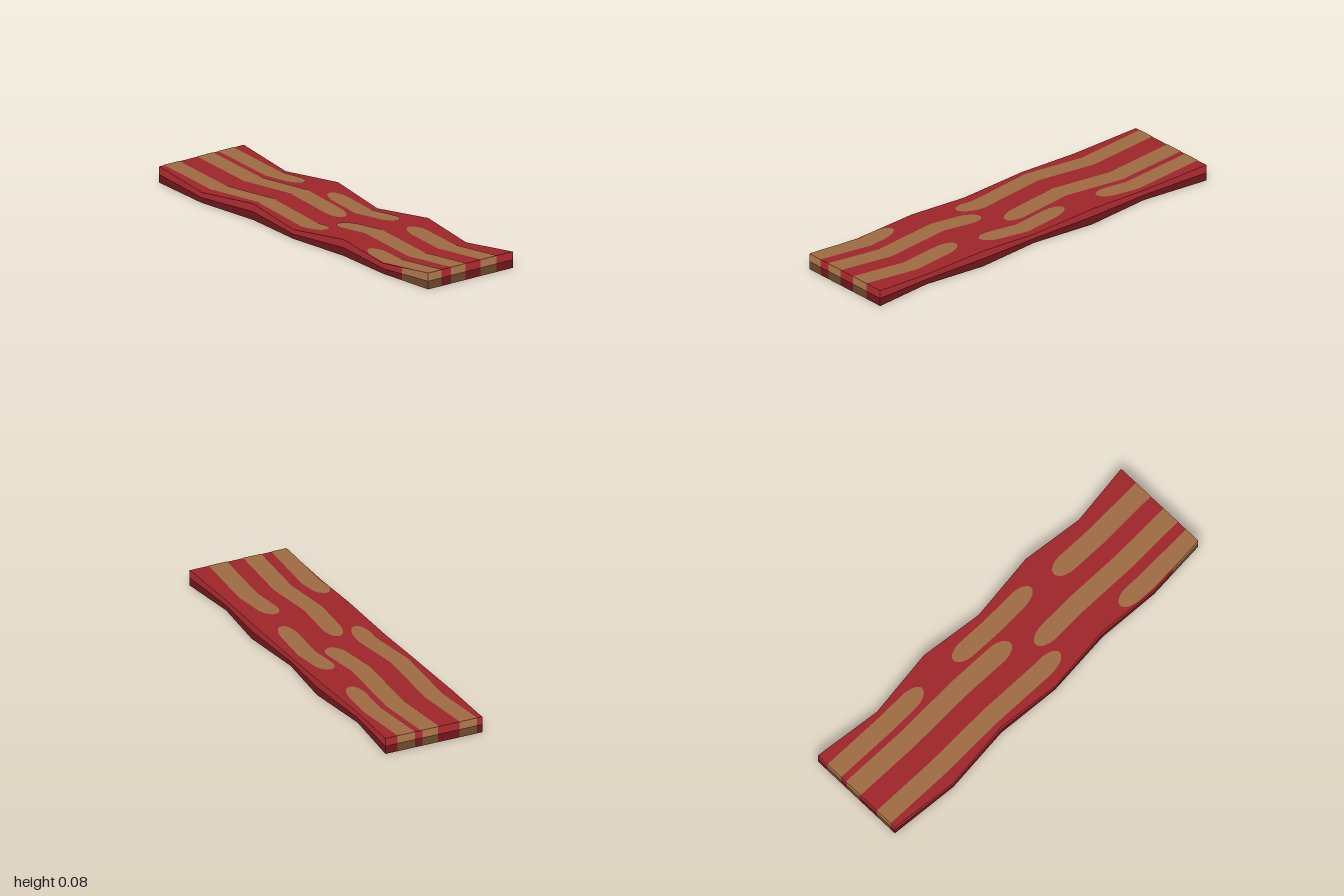
import * as THREE from 'three';

// Stations along the strip: top height and the two wavy long edges
const X = [-1, -0.645, -0.3, 0.03, 0.37, 0.69, 1];
const TOP = [0.08, 0.051, 0.08, 0.045, 0.08, 0.051, 0.08];
const BACK = [-0.27, -0.235, -0.27, -0.239, -0.27, -0.239, -0.27];
const FRONT = [0.235, 0.266, 0.235, 0.262, 0.235, 0.255, 0.235];

function along(values, x) {
  let i = 0;
  while (i < X.length - 2 && x > X[i + 1]) i++;
  return THREE.MathUtils.lerp(values[i], values[i + 1], (x - X[i]) / (X[i + 1] - X[i]));
}

// Sheet through rows of points, wound to face the given normal
function sheet(rows, normal) {
  const n = new THREE.Vector3(...normal).normalize();
  const cols = rows[0].length;
  const points = rows.flat();
  const index = [];
  for (let r = 0; r < rows.length - 1; r++) {
    for (let c = 0; c < cols - 1; c++) {
      const a = r * cols + c, b = a + 1, d = a + cols, e = d + 1;
      for (const tri of [[a, b, d], [b, e, d]]) {
        const [p, q, s] = tri.map((i) => new THREE.Vector3(...points[i]));
        const facing = q.sub(p).cross(s.sub(p)).dot(n);
        index.push(...(facing >= 0 ? tri : [tri[0], tri[2], tri[1]]));
      }
    }
  }
  const g = new THREE.BufferGeometry();
  g.setAttribute('position', new THREE.Float32BufferAttribute(points.flat(), 3));
  g.setAttribute('normal', new THREE.Float32BufferAttribute(points.flatMap(() => n.toArray()), 3));
  g.setIndex(index);
  return g;
}

export function createModel() {
  const group = new THREE.Group();
  const meat = new THREE.MeshStandardMaterial({ color: 0x9c2529 });
  meat.name = 'meat red';
  const fat = new THREE.MeshStandardMaterial({ color: 0x9c6a42 });
  fat.name = 'fat brown';

  const add = (name, rows, normal, material) => {
    const mesh = new THREE.Mesh(sheet(rows, normal), material);
    mesh.name = name;
    group.add(mesh);
  };

  // Rim wall in an upper and a lower band, softly rounded by its normals
  const wall = (name, path, [nx, nz], material) => {
    const level = (f) => path.map(([x, z]) => [x, along(TOP, x) * f, z]);
    add(name + 'Upper', [level(1), level(0.5)], [nx, 0.6, nz], material);
    add(name + 'Lower', [level(0.5), level(0)], [nx, -0.6, nz], material);
  };

  // Meat body: wavy top and flat underside
  const body = (y) => X.map((x, i) => [[x, y(x), BACK[i]], [x, y(x), FRONT[i]]]);
  add('meatTop', body((x) => along(TOP, x) - 0.001), [0, 1, 0], meat);
  add('meatUnderside', body(() => 0.001), [0, -1, 0], meat);

  // Long edges; the front one ends in fat
  const split = 0.82;
  const corner = [split, along(FRONT, split)];
  const front = X.map((x, i) => [x, FRONT[i]]);
  wall('backEdge', X.map((x, i) => [x, BACK[i]]), [0, -1], meat);
  wall('frontEdge', [...front.slice(0, 6), corner], [0, 1], meat);
  wall('frontEdgeFat', [corner, front[6]], [0, 1], fat);

  // Short ends, alternating meat and fat
  const ends = {
    left: [1, [-0.27, -0.172, -0.076, 0.012, 0.1, 0.157, 0.235]],
    right: [-1, [-0.27, -0.207, -0.117, -0.078, 0.005, 0.117, 0.207, 0.235]],
  };
  for (const [side, [x, cuts]] of Object.entries(ends)) {
    for (let i = 0; i < cuts.length - 1; i++) {
      const path = [[x, cuts[i]], [x, cuts[i + 1]]];
      wall(side + 'End' + i, path, [x, 0], i % 2 ? fat : meat);
    }
  }

  // Fat streaks [x0, x1, z0, z1], rounded where they stop inside the strip
  const streaks = [
    [-1, -0.42, -0.207, -0.117],
    [-0.22, 0.29, -0.2, -0.11],
    [0.41, 1, -0.172, -0.076],
    [-1, 0.035, -0.086, 0.01],
    [0.11, 1, 0.008, 0.102],
    [-1, 0.16, 0.117, 0.207],
    [0.52, 1, 0.155, 0.245],
  ];
  const cap = 0.09;
  streaks.forEach(([x0, x1, z0, z1], s) => {
    const xs = X.filter((x) => x > x0 + cap && x < x1 - cap);
    for (let i = 0; i <= 12; i++) {
      const d = cap * (1 - Math.cos((i / 12) * Math.PI / 2));
      xs.push(x0 + d, x1 - d);
    }
    xs.sort((a, b) => a - b);
    const rows = (y) => xs.map((x) => {
      const inset = Math.min(x0 === -1 ? cap : x - x0, x1 === 1 ? cap : x1 - x, cap);
      const half = (z1 - z0) / 2 * Math.sqrt(Math.max(0, 1 - (1 - inset / cap) ** 2));
      const mid = (z0 + z1) / 2;
      return [[x, y(x), mid - half], [x, y(x), Math.min(mid + half, along(FRONT, x))]];
    });
    add('fatStreakTop' + s, rows((x) => along(TOP, x) + 0.001), [0, 1, 0], fat);
    add('fatStreakUnderside' + s, rows(() => 0), [0, -1, 0], fat);
  });

  return group;
}
